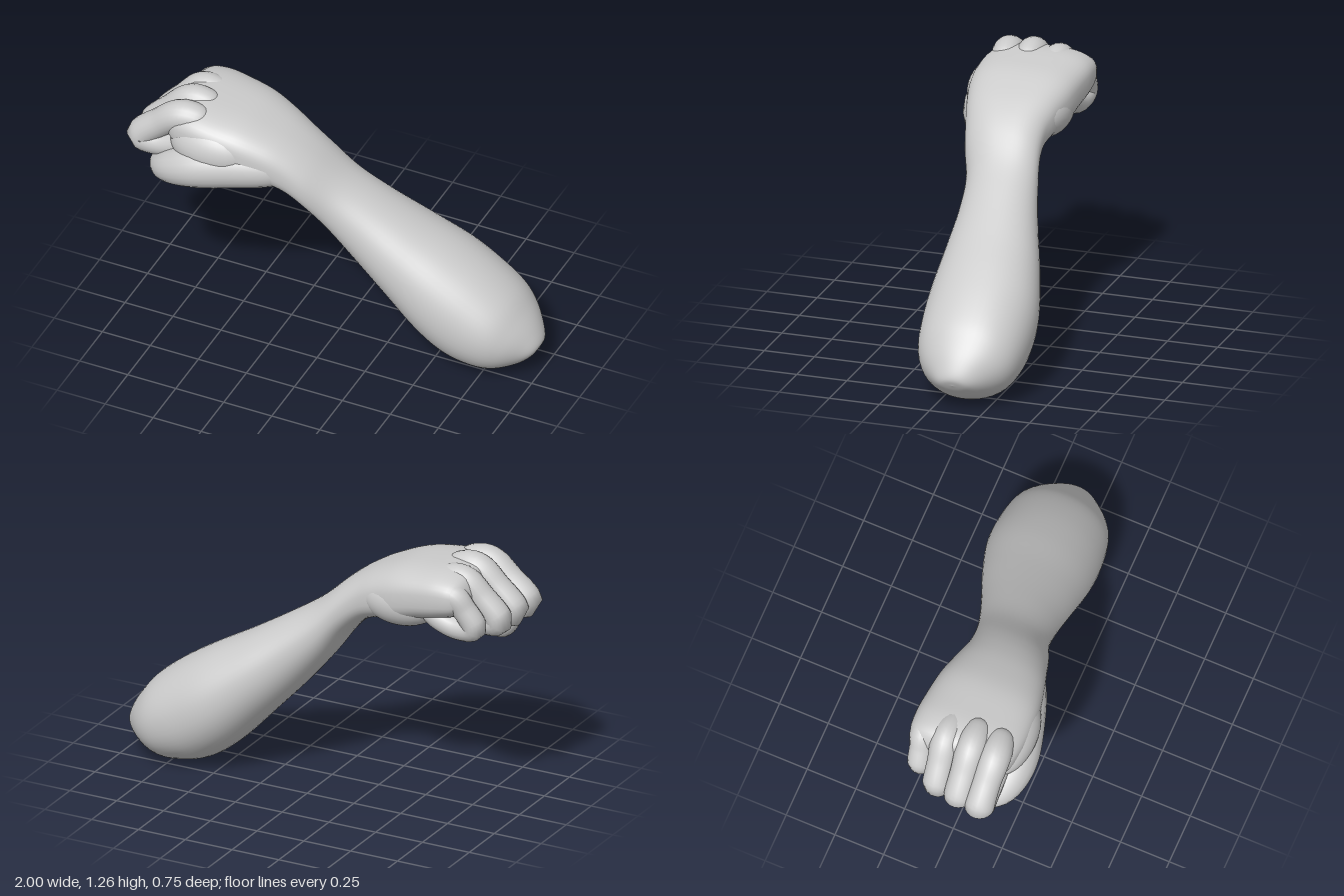
import * as THREE from 'three';

const material = new THREE.MeshStandardMaterial({ color: 0xcccccc, side: THREE.DoubleSide });

// Skins closed rings of points into a smooth surface
function skin(name, rows, cols, pointAt) {
  const pos = [], idx = [];
  for (let i = 0; i <= rows; i++) {
    for (let j = 0; j < cols; j++) {
      pos.push(...pointAt(i / rows, (j / cols) * Math.PI * 2).toArray());
      if (i === rows) continue;
      const a = i * cols + j, b = i * cols + ((j + 1) % cols);
      idx.push(a, b, a + cols, b, b + cols, a + cols);
    }
  }
  const geo = new THREE.BufferGeometry();
  geo.setAttribute('position', new THREE.Float32BufferAttribute(pos, 3));
  geo.setIndex(idx);
  geo.computeVertexNormals();
  const mesh = new THREE.Mesh(geo, material);
  mesh.name = name;
  return mesh;
}

const spline = pts => new THREE.CatmullRomCurve3(pts, false, 'catmullrom', 0.5);

// Limb from sections: [topX, topY, bottomX, bottomY, zMin, zMax, squareness]
function limb(name, sections) {
  const top = spline(sections.map(s => new THREE.Vector3(s[0], s[1], s[4])));
  const bottom = spline(sections.map(s => new THREE.Vector3(s[2], s[3], s[5])));
  const power = spline(sections.map((s, i) => new THREE.Vector3(s[6], i, 0)));
  return skin(name, 96, 48, (t, a) => {
    const A = top.getPoint(t), B = bottom.getPoint(t), p = power.getPoint(t).x;
    const bend = v => Math.sign(v) * Math.abs(v) ** p;
    const c = bend(Math.cos(a)) / 2, s = -bend(Math.sin(a)) / 2;
    return new THREE.Vector3(
      (A.x + B.x) / 2 + (A.x - B.x) * c,
      (A.y + B.y) / 2 + (A.y - B.y) * c,
      (A.z + B.z) / 2 + (B.z - A.z) * s);
  });
}

// Round-ended digit from points: [x, y, z, radius]
function digit(name, pts) {
  const rows = 44;
  const path = spline(pts.map(p => new THREE.Vector3(p[0], p[1], p[2])));
  const radii = spline(pts.map((p, i) => new THREE.Vector3(p[3], i, 0)));
  const frames = path.computeFrenetFrames(rows, false);
  const length = path.getLength();
  return skin(name, rows, 20, (u, a) => {
    const i = Math.round(u * rows);
    let r = radii.getPoint(path.getUtoTmapping(u)).x;
    const d = Math.min(u, 1 - u) * length;
    if (d < r) r *= Math.sqrt(Math.max(0, 1 - (1 - d / r) ** 2));
    return path.getPointAt(u)
      .addScaledVector(frames.normals[i], r * Math.cos(a))
      .addScaledVector(frames.binormals[i], r * Math.sin(a));
  });
}

export function createModel() {
  const group = new THREE.Group();
  group.name = 'forearmAndFist';

  // Forearm running from the rounded elbow through the wrist to the knuckles
  group.add(limb('forearmAndPalm', [
    [0.99, 0.14, 0.99, 0.14, -0.11, -0.11, 1],
    [1.0, 0.18, 0.96, 0.1, -0.18, -0.04, 1],
    [0.97, 0.25, 0.9, 0.05, -0.25, 0.02, 1],
    [0.92, 0.325, 0.8, 0.012, -0.325, 0.09, 0.97],
    [0.85, 0.41, 0.7, 0.01, -0.365, 0.135, 0.95],
    [0.73, 0.505, 0.56, 0.045, -0.38, 0.16, 0.95],
    [0.58, 0.6, 0.42, 0.145, -0.37, 0.168, 0.95],
    [0.4, 0.7, 0.25, 0.325, -0.315, 0.16, 0.95],
    [0.2, 0.82, 0.1, 0.49, -0.245, 0.153, 0.95],
    [0.04, 0.925, -0.02, 0.64, -0.195, 0.165, 0.92],
    [-0.1, 1.05, -0.1, 0.76, -0.165, 0.21, 0.88],
    [-0.2, 1.12, -0.19, 0.85, -0.16, 0.24, 0.82],
    [-0.3, 1.17, -0.28, 0.895, -0.18, 0.27, 0.76],
    [-0.42, 1.213, -0.41, 0.92, -0.21, 0.3, 0.72],
    [-0.55, 1.232, -0.54, 0.96, -0.225, 0.31, 0.7],
    [-0.67, 1.24, -0.66, 0.99, -0.232, 0.3, 0.7],
    [-0.76, 1.22, -0.76, 1.02, -0.215, 0.27, 0.75],
    [-0.8, 1.16, -0.8, 1.06, -0.13, 0.19, 0.9],
    [-0.805, 1.11, -0.805, 1.11, 0.03, 0.03, 1],
  ]));

  // Curled fingers: [name, knuckle y, knuckle z, middle joint x, y, z, radius]
  [
    ['indexFinger', 1.18, 0.205, -0.93, 1.01, 0.212, 0.072],
    ['middleFinger', 1.192, 0.085, -0.92, 1.005, 0.1, 0.07],
    ['ringFinger', 1.177, -0.045, -0.9, 0.995, -0.02, 0.068],
    ['littleFinger', 1.14, -0.16, -0.83, 0.985, -0.135, 0.06],
  ].forEach(([name, ky, kz, x, y, z, r]) => group.add(digit(name, [
    [-0.58, ky - 0.02, kz * 0.9, r * 0.9],
    [-0.72, ky, kz, r * 1.06],
    [(x - 0.74) / 2, (y + ky) / 2 + 0.01, (z + kz) / 2, r * 0.97],
    [x, y, z, r],
    [x + 0.09, y - 0.02, z, r * 0.9],
    [x + 0.19, y + 0.01, z, r * 0.88],
    [x + 0.26, y + 0.06, z, r * 0.82],
  ])));

  // Thumb with its fleshy base, tucked beneath the index finger
  group.add(digit('thumb', [
    [-0.18, 0.99, 0.12, 0.08],
    [-0.32, 0.993, 0.18, 0.105],
    [-0.48, 0.985, 0.225, 0.117],
    [-0.62, 0.96, 0.262, 0.112],
    [-0.72, 0.925, 0.267, 0.095],
    [-0.79, 0.893, 0.245, 0.075],
    [-0.815, 0.884, 0.19, 0.066],
    [-0.8, 0.885, 0.11, 0.06],
  ]));

  // Web of flesh joining the thumb base to the index knuckle
  const web = new THREE.Mesh(new THREE.SphereGeometry(1, 32, 20), material);
  web.name = 'thumbWeb';
  web.position.set(-0.56, 1.06, 0.22);
  web.scale.set(0.21, 0.13, 0.12);
  group.add(web);

  // Heel of the palm on the little finger side
  const heel = new THREE.Mesh(new THREE.SphereGeometry(1, 32, 20), material);
  heel.name = 'palmHeel';
  heel.position.set(-0.42, 1.03, -0.1);
  heel.scale.set(0.2, 0.12, 0.11);
  group.add(heel);

  return group;
}
